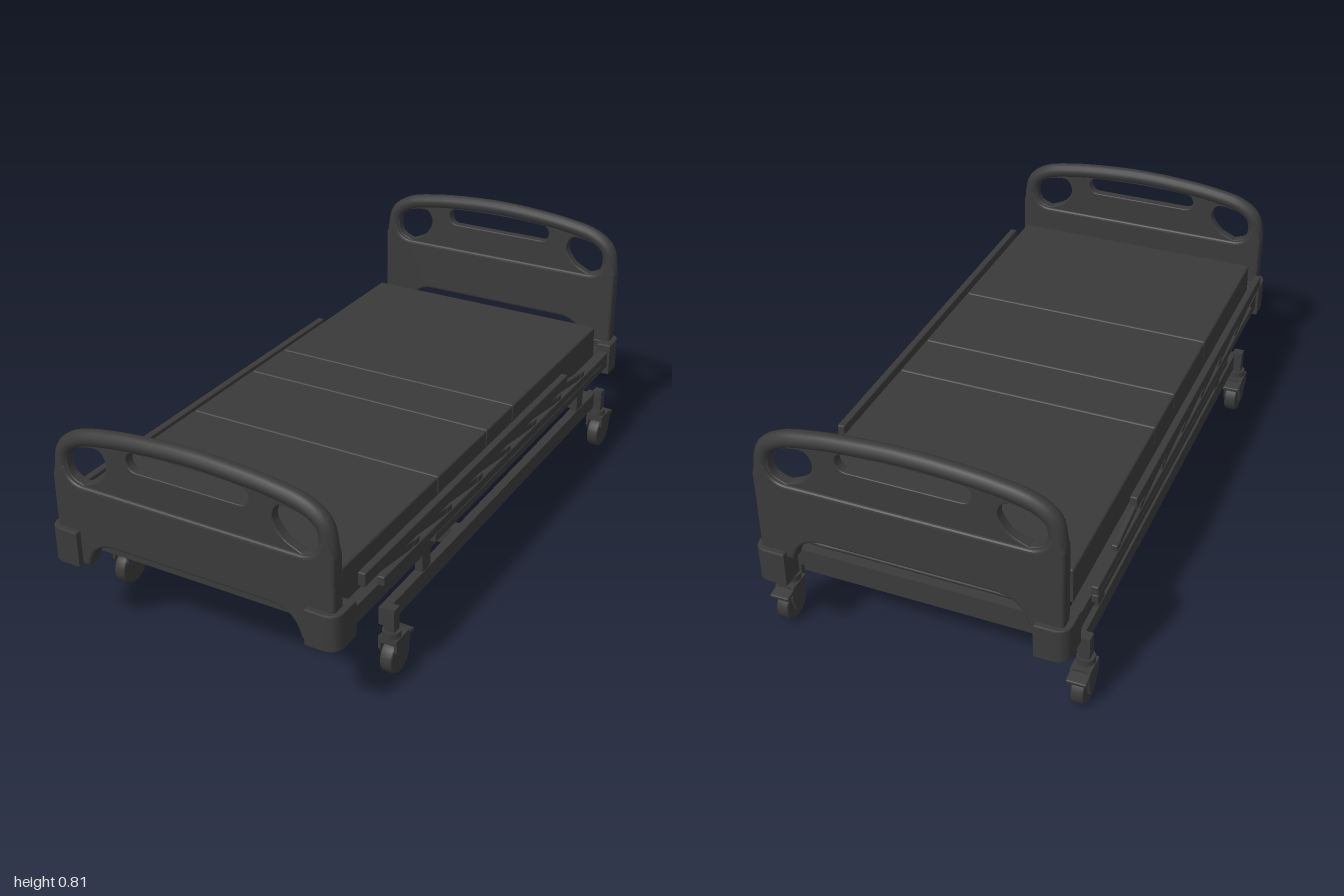
import * as THREE from 'three';
import { RoundedBoxGeometry } from 'three/addons/geometries/RoundedBoxGeometry.js';

const mat = new THREE.MeshStandardMaterial({ color: 0x3a3a3a });
const V2 = (x, y) => new THREE.Vector2(x, y);

function add(parent, name, geometry) {
  const mesh = new THREE.Mesh(geometry, mat);
  mesh.name = name;
  parent.add(mesh);
  return mesh;
}

// box given by its minimum and maximum along each axis
function box(parent, name, x0, x1, y0, y1, z0, z1, r = 0) {
  const size = [x1 - x0, y1 - y0, z1 - z0];
  const g = r ? new RoundedBoxGeometry(...size, 2, r) : new THREE.BoxGeometry(...size);
  const mesh = add(parent, name, g);
  mesh.position.set((x0 + x1) / 2, (y0 + y1) / 2, (z0 + z1) / 2);
  return mesh;
}

function group(parent, name) {
  const g = new THREE.Group();
  g.name = name;
  parent.add(g);
  return g;
}

function plate(parent, name, shape, depth, bevel) {
  const g = new THREE.ExtrudeGeometry(shape, {
    depth: depth - 2 * bevel, bevelThickness: bevel, bevelSize: bevel, bevelOffset: -bevel,
    bevelSegments: 3, curveSegments: 10,
  });
  g.translate(0, 0, -depth / 2 + bevel);
  return add(parent, name, g);
}

// right half of the bow centre line, bottom to top centre
const HALF = [[0.425, 0.28], [0.425, 0.42], [0.425, 0.56], [0.41, 0.617], [0.36, 0.653],
  [0.26, 0.675], [0.13, 0.688], [0, 0.693]];

// starts a shape along the arched lower edge, left to right
function archedShape() {
  const s = new THREE.Shape();
  s.moveTo(-0.35, 0.257);
  s.bezierCurveTo(-0.335, 0.31, -0.31, 0.34, -0.25, 0.34);
  s.lineTo(0.25, 0.34);
  s.bezierCurveTo(0.31, 0.34, 0.335, 0.31, 0.35, 0.257);
  return s;
}

function makeBoard(parent, name, z, lift) {
  const board = group(parent, name);
  board.position.set(0, lift, z);

  // bent tube around the board
  const bow = [...HALF, ...HALF.slice(0, -1).reverse().map(([x, y]) => [-x, y])];
  const curve = new THREE.CatmullRomCurve3(bow.map(([x, y]) => new THREE.Vector3(x, y, 0)));
  add(board, 'bowTube', new THREE.TubeGeometry(curve, 80, 0.025, 14));

  // thin web with openings
  const web = archedShape();
  web.lineTo(0.43, 0.257);
  curve.getPoints(60).forEach((p) => web.lineTo(p.x, p.y));
  web.lineTo(-0.43, 0.257);
  web.closePath();

  // grip slot and the two side openings
  const slot = new THREE.Path();
  slot.moveTo(-0.165, 0.605);
  slot.lineTo(0.165, 0.605);
  slot.bezierCurveTo(0.2, 0.605, 0.205, 0.66, 0.17, 0.662);
  slot.quadraticCurveTo(0, 0.674, -0.17, 0.662);
  slot.bezierCurveTo(-0.205, 0.66, -0.2, 0.605, -0.165, 0.605);
  web.holes.push(slot);
  for (const s of [-1, 1]) {
    const eye = new THREE.Path();
    eye.moveTo(s * 0.35, 0.517);
    eye.splineThru([[0.388, 0.535], [0.4, 0.575], [0.385, 0.615], [0.34, 0.635], [0.285, 0.638],
      [0.265, 0.595], [0.295, 0.545], [0.35, 0.517]].map(([x, y]) => V2(s * x, y)));
    web.holes.push(eye);
  }
  plate(board, 'web', web, 0.032, 0.004);

  // full-thickness lower panel, blending into the tube
  const panel = archedShape();
  panel.lineTo(0.45, 0.257);
  panel.lineTo(0.45, 0.53);
  panel.lineTo(0.43, 0.6);
  panel.lineTo(0.406, 0.56);
  panel.quadraticCurveTo(0.395, 0.517, 0.35, 0.515);
  panel.lineTo(-0.35, 0.515);
  panel.quadraticCurveTo(-0.395, 0.517, -0.406, 0.56);
  panel.lineTo(-0.43, 0.6);
  panel.lineTo(-0.45, 0.53);
  panel.lineTo(-0.45, 0.257);
  panel.closePath();
  plate(board, 'lowerPanel', panel, 0.05, 0.01);
}

// L-shaped corner block, drawn in plan and extruded upward
function makeCorner(parent, sx, sz) {
  const s = new THREE.Shape();
  s.moveTo(0.37, 0.93);
  s.lineTo(0.42, 0.93);
  s.lineTo(0.42, 0.9);
  s.lineTo(0.468, 0.9);
  s.lineTo(0.468, 0.955);
  s.quadraticCurveTo(0.468, 1, 0.423, 1);
  s.lineTo(0.37, 1);
  s.closePath();
  const pts = s.getPoints(8).map((p) => V2(p.x * sx, -p.y * sz));
  const g = new THREE.ExtrudeGeometry(new THREE.Shape(pts), {
    depth: 0.105, bevelSize: 0.004, bevelOffset: -0.004, bevelThickness: 0.004, bevelSegments: 2 });
  g.rotateX(-Math.PI / 2);
  add(parent, 'cornerBlock', g).position.y = 0.26;
}

function makeCaster(parent, x, z) {
  const c = group(parent, 'caster');
  c.position.set(x, 0, z);
  box(c, 'post', -0.016, 0.016, 0.14, 0.222, -0.016, 0.016);
  const cap = add(c, 'swivelCap', new THREE.CylinderGeometry(0.027, 0.028, 0.022, 16));
  cap.position.set(0, 0.138, 0);
  const wheel = add(c, 'wheel', new THREE.LatheGeometry([[0, -0.02], [0.05, -0.02], [0.055, -0.015],
    [0.055, 0.015], [0.05, 0.02], [0, 0.02]].map(([r, y]) => V2(r, y)), 24));
  wheel.rotation.z = Math.PI / 2;
  wheel.position.set(0, 0.055, -0.018);
  // fork cheeks joined over the wheel
  const cheek = new THREE.Shape([V2(-0.025, 0.13), V2(0.045, 0.13), V2(0.055, 0.1), V2(0.04, 0.045),
    V2(0.01, 0.04), V2(-0.025, 0.09)]);
  for (const s of [-1, 1]) {
    const m = plate(c, 'forkCheek', cheek, 0.009, 0.001);
    m.rotation.y = Math.PI / 2;
    m.position.x = s * 0.0255;
  }
  box(c, 'forkTop', -0.028, 0.028, 0.112, 0.13, -0.045, 0.026);
  const pedal = box(c, 'brakePedal', -0.03, 0.03, 0.108, 0.122, -0.08, -0.02, 0.004);
  pedal.rotation.x = -0.2;
}

// bar between two points in the side plane
function sideBar(parent, name, x, z0, y0, z1, y1, w, h) {
  const m = add(parent, name, new RoundedBoxGeometry(w, h, Math.hypot(z1 - z0, y1 - y0), 2, 0.004));
  m.position.set(x, (y0 + y1) / 2, (z0 + z1) / 2);
  m.rotation.x = -Math.atan2(y1 - y0, z1 - z0);
}

function makeGuardRail(parent, s) {
  const rail = group(parent, 'foldedGuardRail');
  const x = s * 0.466;
  sideBar(rail, 'topRail', x, -0.48, 0.415, 0.87, 0.415, 0.023, 0.042);
  sideBar(rail, 'bottomRail', s * 0.468, -0.8, 0.352, 0.77, 0.352, 0.022, 0.03);
  sideBar(rail, 'mountStrip', s * 0.468, -0.8, 0.324, 0.47, 0.324, 0.022, 0.028);
  for (let i = 0; i < 7; i++) {
    const z = 0.8 - i * 0.2;
    sideBar(rail, 'foldedPost', x, z, 0.405, z - 0.22, 0.372, 0.016, 0.024);
    box(rail, 'pivot', x - 0.01, x + 0.01, 0.335, 0.385, z - 0.24, z - 0.205, 0.004);
  }
}

export function createModel() {
  const bed = new THREE.Group();
  bed.name = 'hospitalBed';

  makeBoard(bed, 'footboard', 0.957, 0);
  makeBoard(bed, 'headboard', -0.957, 0.088);
  for (const sx of [-1, 1]) for (const sz of [-1, 1]) makeCorner(bed, sx, sz);

  // four solid deck sections with slim ribs and rims below
  const cuts = [-0.85, -0.16, 0.03, 0.355, 0.9];
  for (let i = 0; i < 4; i++) {
    const deck = group(bed, 'deckSection');
    const z0 = cuts[i], z1 = cuts[i + 1];
    box(deck, 'top', -0.425, 0.425, 0.375, 0.452, z0, z1, 0.007);
    for (const s of [-1, 1]) box(deck, 'sideRim', s * 0.415 - 0.01, s * 0.415 + 0.01, 0.34, 0.4, z0, z1);
    const n = Math.round((z1 - z0) / 0.1);
    for (let k = 0; k < n; k++) {
      const z = z0 + ((k + 0.5) * (z1 - z0)) / n;
      box(deck, 'rib', -0.41, 0.41, 0.35, 0.38, z - 0.02, z + 0.02);
    }
  }

  // retaining hoop at the head end
  const hoop = new THREE.CatmullRomCurve3([[-0.41, -0.83], [-0.395, -0.865], [-0.35, -0.892], [-0.2, -0.895],
    [0.2, -0.895], [0.35, -0.892], [0.395, -0.865], [0.41, -0.83]].map(([x, z]) => new THREE.Vector3(x, 0.35, z)));
  add(bed, 'retainingHoop', new THREE.TubeGeometry(hoop, 48, 0.009, 8));

  // upper frame
  const frame = group(bed, 'upperFrame');
  for (const s of [-1, 1]) {
    box(frame, 'sideRail', s * 0.442 - 0.018, s * 0.442 + 0.018, 0.285, 0.34, -0.93, 0.93);
    box(frame, 'endRail', -0.435, 0.435, 0.285, 0.34, s * 0.912 - 0.018, s * 0.912 + 0.018);
    makeGuardRail(bed, s);
  }
  for (const z of [-0.685, 0.465]) box(frame, 'crossRail', -0.435, 0.435, 0.29, 0.335, z - 0.02, z + 0.02);

  // wheeled chassis
  const chassis = group(bed, 'chassis');
  for (const s of [-1, 1]) {
    box(chassis, 'chassisRail', s * 0.437 - 0.014, s * 0.437 + 0.014, 0.157, 0.213, -0.84, 0.7);
    for (const z of [-0.685, 0.465]) {
      box(chassis, 'column', s * 0.437 - 0.012, s * 0.437 + 0.012, 0.21, 0.29, z - 0.025, z + 0.025);
    }
    for (const z of [-0.837, 0.693]) makeCaster(chassis, s * 0.461, z);
  }
  for (const z of [-0.8, 0.22]) box(chassis, 'chassisCrossBeam', -0.43, 0.43, 0.157, 0.213, z - 0.022, z + 0.022);

  return bed;
}
